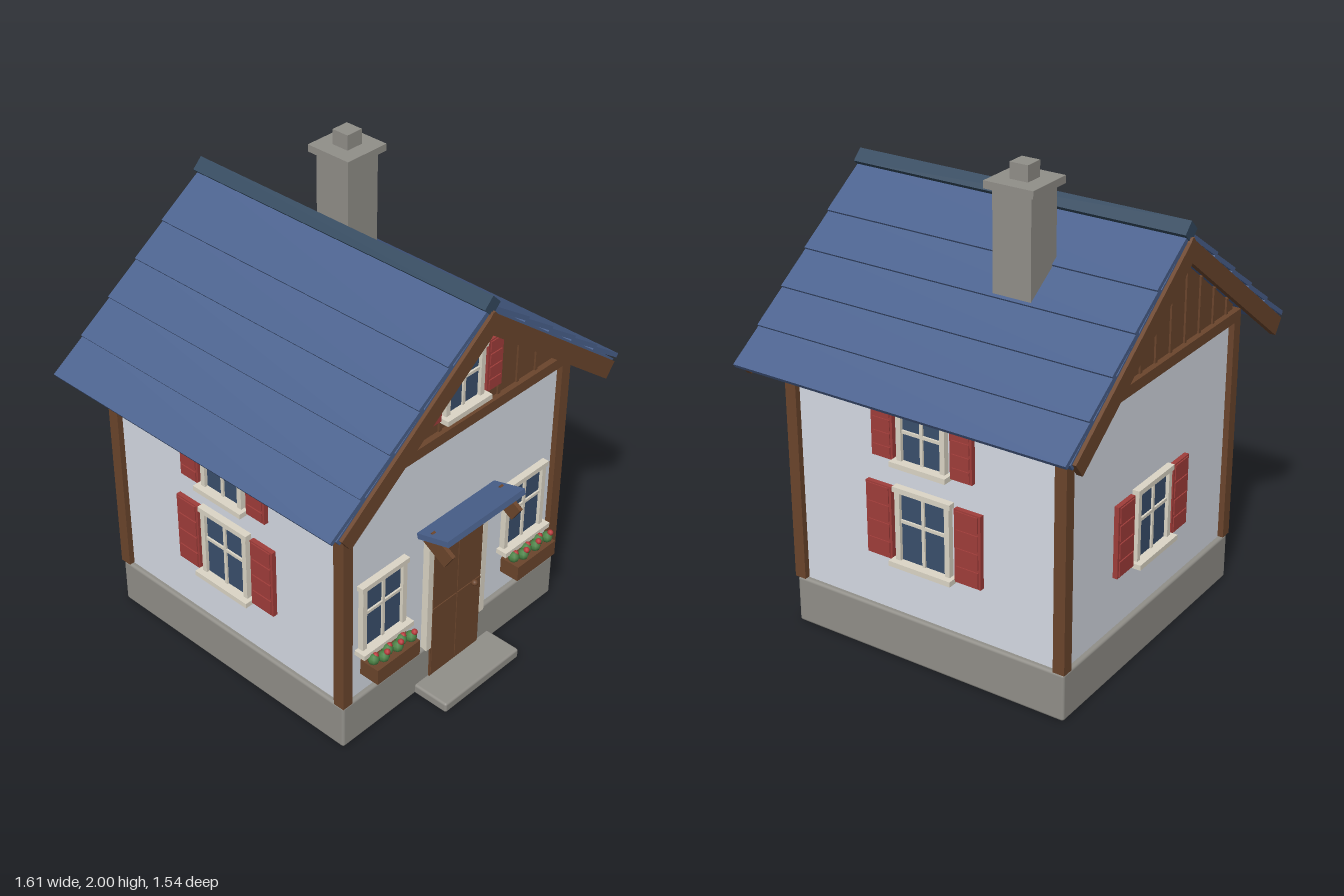
import * as THREE from 'three';
import { RoundedBoxGeometry } from 'three/addons/geometries/RoundedBoxGeometry.js';

const material = (name, color) => {
  const m = new THREE.MeshStandardMaterial({ color });
  m.name = name;
  return m;
};
const plaster = material('plaster', 0xd6dbe4);
const stone = material('stone', 0x918f89);
const wood = material('wood', 0x6b452c);
const roofBlue = material('roofBlue', 0x4a618d);
const ridgeBlue = material('ridgeBlue', 0x33495f);
const cream = material('cream', 0xdcd6c6);
const glass = material('glass', 0x3a4f6c);
const shutterRed = material('shutterRed', 0xa03d3a);
const leafGreen = material('leafGreen', 0x4a8044);
const flowerRed = material('flowerRed', 0xb83a3c);

const CZ = -0.02;    // centre of the house in z
const HALF = 0.61;   // half width of the walls
const SLOPE = 0.75;  // roof rise over run
const PITCH = Math.atan(SLOPE);

function add(parent, name, geometry, mat, [x, y, z]) {
  const mesh = new THREE.Mesh(geometry, mat);
  mesh.name = name;
  mesh.position.set(x, y, z);
  parent.add(mesh);
  return mesh;
}
const box = (parent, name, mat, size, pos) =>
  add(parent, name, new THREE.BoxGeometry(...size), mat, pos);

function group(parent, name, x = 0, y = 0, z = 0, turn = 0) {
  const g = new THREE.Group();
  g.name = name;
  g.position.set(x, y, z);
  g.rotation.y = turn;
  parent.add(g);
  return g;
}

// Window facing +z, centred on its group, with optional shutters
function addWindow(parent, name, [x, y, z], turn, w, h, shutterW = 0) {
  const g = group(parent, name, x, y, z, turn);
  const t = 0.022;
  box(g, 'pane', glass, [w - t, h - t, 0.016], [0, 0, 0.002]);
  for (const s of [-1, 1]) {
    box(g, 'frameSide', cream, [t, h, 0.04], [s * (w - t) / 2, 0, 0.005]);
  }
  box(g, 'lintel', cream, [w + 0.015, t, 0.05], [0, h / 2 - t / 2 + 0.005, 0.005]);
  box(g, 'sill', cream, [w + 0.035, t, 0.06], [0, -h / 2 + t / 2 - 0.005, 0.02]);
  box(g, 'verticalBar', cream, [0.013, h - t, 0.03], [0, 0, 0.003]);
  box(g, 'crossBar', cream, [w - t, 0.013, 0.03], [0, h * 0.07, 0.003]);
  if (!shutterW) return;
  for (const s of [-1, 1]) {
    const sh = group(g, 'shutter', s * (w / 2 + 0.02 + shutterW / 2), 0, 0.008);
    const sh1 = h - 0.015;
    box(sh, 'shutterBoard', shutterRed, [shutterW, sh1, 0.024], [0, 0, 0]);
    for (let i = 0; i < 4; i++) {
      box(sh, 'shutterSlat', shutterRed, [shutterW - 0.02, sh1 / 4 - 0.012, 0.008],
        [0, (i - 1.5) * sh1 / 4, 0.013]);
    }
  }
}

function addBody(house) {
  // Stone plinth, plaster walls and corner posts
  add(house, 'stoneBase', new RoundedBoxGeometry(1.26, 0.205, 1.26, 2, 0.012), stone, [0, 0.1025, CZ]);
  box(house, 'walls', plaster, [2 * HALF, 0.98, 2 * HALF], [0, 0.69, CZ]);
  for (const sx of [-1, 1]) for (const sz of [-1, 1]) {
    box(house, 'cornerPost', wood, [0.05, 0.975, 0.05], [sx * HALF, 0.695, CZ + sz * HALF]);
  }
  // Wooden gable block under the roof
  const shape = new THREE.Shape([
    new THREE.Vector2(-HALF, 1.175), new THREE.Vector2(HALF, 1.175),
    new THREE.Vector2(HALF, 1.24), new THREE.Vector2(0, 1.7), new THREE.Vector2(-HALF, 1.24),
  ]);
  const gable = new THREE.ExtrudeGeometry(shape, { depth: 2 * HALF, bevelEnabled: false });
  add(house, 'gables', gable, wood, [0, 0, CZ - HALF]);
  for (const sz of [-1, 1]) {
    const z = CZ + sz * HALF;
    box(house, 'gableBeam', wood, [1.27, 0.045, 0.05], [0, 1.197, z]);
    for (let i = -5; i <= 5; i++) {
      const x = i * 0.11;
      const h = 1.7 - SLOPE * Math.abs(x) - 1.22;
      box(house, 'gableBatten', wood, [0.014, h, 0.016], [x, 1.22 + h / 2, z]);
    }
  }
}

function addRoof(house) {
  const run = Math.cos(PITCH);
  for (const side of [0, 1]) {
    const half = group(house, 'roofHalf', 0, 1.745, CZ, side * Math.PI);
    const plane = group(half, 'roofSlope');
    plane.rotation.z = -PITCH;
    box(plane, 'roofDeck', roofBlue, [0.969, 0.03, 1.47], [0.4845, -0.015, 0]);
    // Overlapping courses, each lifted at its lower edge
    for (let i = 0; i < 5; i++) {
      const end = 0.79 / run - i * 0.182;
      const len = i === 4 ? 0.25 : 0.2;
      const course = box(plane, 'roofCourse', roofBlue, [len, 0.018, 1.47],
        [end - len / 2, 0.0165 - len * 0.025, 0]);
      course.rotation.z = 0.05;
    }
    for (const s of [-1, 1]) {
      box(plane, 'bargeboard', wood, [0.959, 0.075, 0.025], [0.4795, -0.0455, s * 0.7375]);
    }
  }
  const ridge = box(house, 'ridgeCap', ridgeBlue, [0.06, 0.06, 1.48], [0, 1.758, CZ]);
  ridge.rotation.z = Math.PI / 4;
}

function addChimney(house) {
  const g = group(house, 'chimney', 0.275, 0, -0.237);
  box(g, 'chimneyStack', stone, [0.165, 0.41, 0.165], [0, 1.705, 0]);
  box(g, 'chimneyCap', stone, [0.21, 0.03, 0.21], [0, 1.922, 0]);
  box(g, 'chimneyPot', stone, [0.078, 0.065, 0.078], [0, 1.9675, 0]);
}

function addEntrance(house) {
  const g = group(house, 'entrance');
  box(g, 'door', wood, [0.29, 0.7, 0.04], [0, 0.39, 0.597]);
  for (const s of [-1, 1]) {
    for (const [y, h] of [[0.23, 0.33], [0.57, 0.33]]) {
      box(g, 'doorPanel', wood, [0.138, h, 0.006], [s * 0.0715, y, 0.618]);
    }
    box(g, 'doorFrameSide', cream, [0.028, 0.57, 0.05], [s * 0.158, 0.485, 0.595]);
    // Slanted canopy brackets
    const bracket = box(g, 'canopyBracket', wood, [0.018, 0.073, 0.125], [s * 0.195, 0.77, 0.686]);
    bracket.rotation.x = 0.55;
  }
  box(g, 'doorFrameTop', cream, [0.344, 0.028, 0.05], [0, 0.756, 0.595]);
  add(g, 'doorKnob', new THREE.SphereGeometry(0.014, 12, 8), wood, [0.098, 0.39, 0.628]);
  const canopy = box(g, 'canopy', roofBlue, [0.445, 0.025, 0.155], [0, 0.82, 0.675]);
  canopy.rotation.x = -0.27;
  add(g, 'doorStep', new RoundedBoxGeometry(0.445, 0.045, 0.17, 2, 0.01), stone, [0, 0.0265, 0.688]);
}

function addFlowerBox(house, x) {
  const g = group(house, 'flowerBox', x, 0, 0.645);
  box(g, 'planter', wood, [0.235, 0.07, 0.09], [0, 0.348, 0]);
  const leaf = new THREE.SphereGeometry(0.024, 8, 6);
  const bloom = new THREE.SphereGeometry(0.013, 8, 6);
  for (let i = 0; i < 6; i++) {
    const px = (i - 2.5) * 0.038;
    const side = i % 2 ? 1 : -1;
    add(g, 'leaves', leaf, leafGreen, [px, 0.402, 0.01 + side * 0.008]);
    add(g, 'flower', bloom, flowerRed, [px + 0.008, 0.42 + side * 0.004, 0.016 + side * 0.012]);
  }
}

export function createModel() {
  const house = new THREE.Group();
  house.name = 'house';
  addBody(house);
  addRoof(house);
  addChimney(house);
  addEntrance(house);

  const front = CZ + HALF;
  for (const s of [-1, 1]) {
    addWindow(house, 'frontWindow', [s * 0.41, 0.58, front], 0, 0.24, 0.32);
    addFlowerBox(house, s * 0.41);
    const turn = s * Math.PI / 2;
    addWindow(house, 'sideWindow', [s * HALF, 0.597, CZ], turn, 0.25, 0.325, 0.118);
    addWindow(house, 'upperSideWindow', [s * HALF, 0.983, CZ], turn, 0.22, 0.24, 0.098);
  }
  addWindow(house, 'gableWindow', [0, 1.393, front + 0.004], 0, 0.21, 0.24, 0.085);
  addWindow(house, 'backWindow', [0, 0.583, CZ - HALF], Math.PI, 0.25, 0.32, 0.118);
  return house;
}
